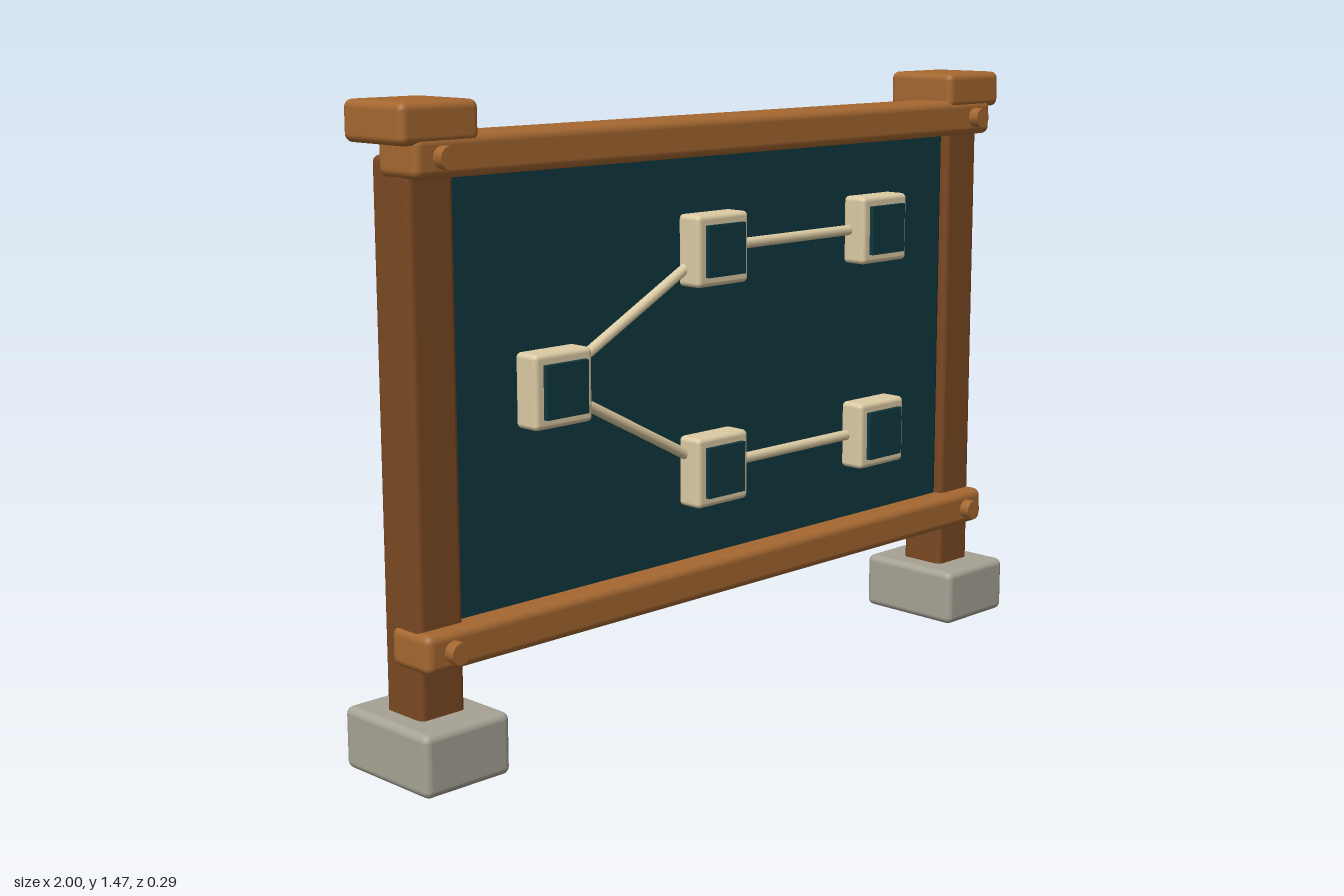
import * as THREE from 'three';
import { RoundedBoxGeometry } from 'three/addons/geometries/RoundedBoxGeometry.js';

const material = (name, color) => {
  const m = new THREE.MeshStandardMaterial({ color });
  m.name = name;
  return m;
};

export function createModel() {
  const group = new THREE.Group();
  const lightWood = material('light wood', 0xa56831);
  const darkWood = material('dark wood', 0x7a4822);
  const slate = material('dark teal slate', 0x10383f);
  const stone = material('grey stone', 0xa6a395);
  const cream = material('cream', 0xdccba4);

  const add = (name, geometry, mat, x, y, z) => {
    const mesh = new THREE.Mesh(geometry, mat);
    mesh.name = name;
    mesh.position.set(x, y, z);
    group.add(mesh);
    return mesh;
  };
  // Rounded block given by centre x and its y and z ranges
  const block = (name, mat, x, w, [y0, y1], [z0, z1], r) =>
    add(name, new RoundedBoxGeometry(w, y1 - y0, z1 - z0, 3, r), mat, x, (y0 + y1) / 2, (z0 + z1) / 2);

  // Posts with stone feet and wooden caps
  for (const [side, s] of [['left', 1], ['right', -1]]) {
    block(side + 'Foot', stone, s * 0.883, 0.234, [0, 0.143], [-0.146, 0.146], 0.018);
    block(side + 'Post', darkWood, s * 0.885, 0.122, [0.01, 1.354], [-0.063, 0.063], 0.015);
    block(side + 'Cap', lightWood, s * 0.885, 0.206, [1.38, 1.47], [-0.102, 0.102], 0.018);
  }

  // Board panel
  block('boardPanel', slate, 0, 1.66, [0.3, 1.35], [-0.064, 0.042], 0.015);

  // Rails across the front, pegged to the posts
  for (const [level, y] of [['top', 1.354], ['bottom', 0.297]]) {
    block(level + 'Rail', lightWood, 0, 1.91, [y - 0.045, y + 0.045], [-0.03, 0.102], 0.02);
    for (const s of [-1, 1]) {
      const peg = new THREE.CylinderGeometry(0.025, 0.025, 0.05, 12);
      add(level + 'Peg', peg, lightWood, s * 0.885, y, 0.104).rotation.x = Math.PI / 2;
    }
  }

  // Square nodes: cream block with a dark plate on its face
  const nodes = [[-0.562, 0.826], [-0.06, 1.09], [0.525, 1.09], [-0.06, 0.562], [0.525, 0.562]];
  for (const [x, y] of nodes) {
    block('nodeFrame', cream, x, 0.17, [y - 0.085, y + 0.085], [0.035, 0.105], 0.012);
    add('nodePlate', new THREE.BoxGeometry(0.122, 0.122, 0.014), slate, x, y, 0.11);
  }

  // Rods linking the nodes
  const up = new THREE.Vector3(0, 1, 0);
  for (const [a, b] of [[0, 1], [1, 2], [0, 3], [3, 4]]) {
    const from = new THREE.Vector3(...nodes[a], 0.055);
    const to = new THREE.Vector3(...nodes[b], 0.055);
    const mid = from.clone().lerp(to, 0.5);
    const rod = new THREE.CylinderGeometry(0.013, 0.013, from.distanceTo(to), 10);
    add('linkRod', rod, cream, mid.x, mid.y, mid.z)
      .quaternion.setFromUnitVectors(up, to.sub(from).normalize());
  }

  return group;
}
